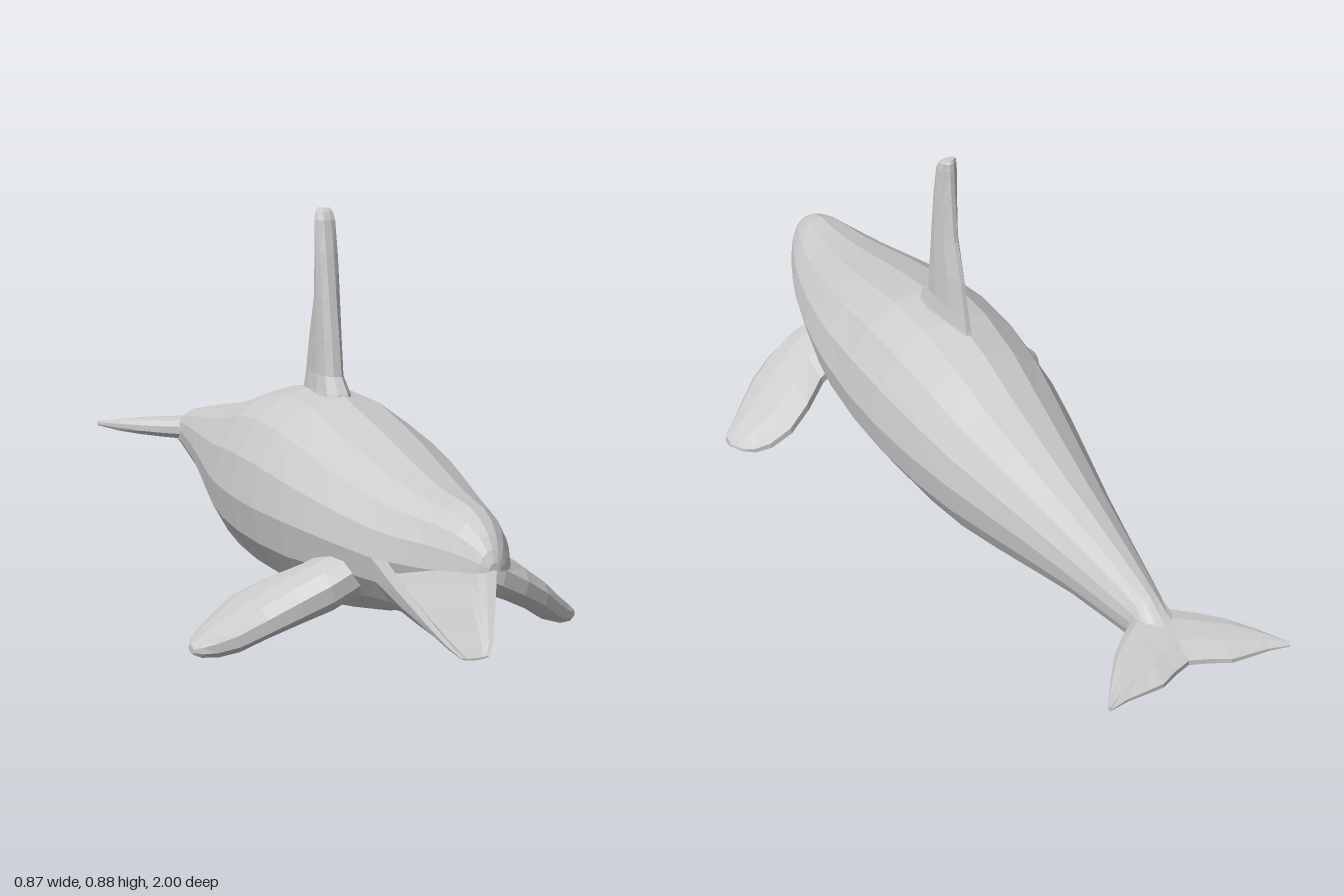
import * as THREE from 'three';

const material = new THREE.MeshStandardMaterial({ color: 0xcccccc, flatShading: true });

// Skin equal-length rings of [x, y, z] points; end caps pair opposite points,
// so they also close U-shaped rings. Winding is corrected by signed volume.
function loft(name, rings) {
  const n = rings[0].length;
  const index = [];
  const quad = (a, b, c, d) => index.push(a, b, c, a, c, d);
  for (let r = 0; r < rings.length - 1; r++) {
    for (let i = 0; i < n; i++) {
      const j = (i + 1) % n;
      quad(r * n + i, r * n + j, (r + 1) * n + j, (r + 1) * n + i);
    }
  }
  const last = (rings.length - 1) * n;
  for (let i = 0; i < n / 2 - 1; i++) {
    quad(n - 1 - i, n - 2 - i, i + 1, i);
    quad(last + i, last + i + 1, last + n - 2 - i, last + n - 1 - i);
  }
  const points = rings.flat().map((p) => new THREE.Vector3(...p));
  let volume = 0;
  for (let i = 0; i < index.length; i += 3) {
    const [a, b, c] = [0, 1, 2].map((k) => points[index[i + k]]);
    volume += a.dot(b.clone().cross(c));
  }
  if (volume < 0) index.reverse();
  const indexed = new THREE.BufferGeometry().setFromPoints(points);
  indexed.setIndex(index);
  const geometry = indexed.toNonIndexed();
  geometry.computeVertexNormals();
  const mesh = new THREE.Mesh(geometry, material);
  mesh.name = name;
  return mesh;
}

// Points on an arc whose upper and lower halves have different heights
function arc(z, w, top, mid, bottom, from, to, steps) {
  return Array.from({ length: steps + 1 }, (_, i) => {
    const a = from + ((to - from) * i) / steps;
    const s = Math.sin(a);
    return [w * Math.cos(a), mid + s * (s > 0 ? top - mid : mid - bottom), z];
  });
}

// Blade section: chord position, thickness; blunt in front, thin behind
function blade(lead, trail, half, place) {
  const profile = [[0, 0.35], [0.12, 0.85], [0.35, 1], [0.7, 0.75], [1, 0.2]];
  const upper = profile.map(([c, t]) => [lead + (trail - lead) * c, t * half]);
  const lower = upper.map(([c, t]) => [c, -t]).reverse();
  return [...upper, ...lower].map(([c, t]) => place(c, t));
}

function createBody() {
  // z, half width, top, middle, bottom
  const stations = [
    [-0.88, 0.045, 0.272, 0.25, 0.225], [-0.84, 0.045, 0.285, 0.25, 0.205],
    [-0.79, 0.042, 0.308, 0.25, 0.18], [-0.7, 0.06, 0.325, 0.25, 0.168],
    [-0.58, 0.083, 0.348, 0.25, 0.15], [-0.45, 0.11, 0.37, 0.25, 0.115],
    [-0.32, 0.14, 0.398, 0.25, 0.082], [-0.18, 0.172, 0.43, 0.25, 0.052],
    [-0.05, 0.195, 0.468, 0.25, 0.042], [0.1, 0.211, 0.488, 0.25, 0.038],
    [0.25, 0.215, 0.482, 0.25, 0.04], [0.4, 0.207, 0.45, 0.25, 0.045],
    [0.5, 0.194, 0.427, 0.248, 0.062], [0.59, 0.177, 0.404, 0.244, 0.084],
    [0.66, 0.16, 0.388, 0.24, 0.097],
  ];
  return loft('body', stations.map(([z, w, t, m, b]) =>
    arc(z, w, t, m, b, 0, Math.PI * 2, 16).slice(0, 16)));
}

function createUpperJaw() {
  // z, half width, top, lip height
  const stations = [
    [0.66, 0.16, 0.388, 0.24], [0.73, 0.142, 0.374, 0.236], [0.8, 0.12, 0.365, 0.237],
    [0.88, 0.09, 0.358, 0.24], [0.93, 0.068, 0.343, 0.245], [0.97, 0.045, 0.318, 0.248],
    [0.99, 0.028, 0.293, 0.25], [1, 0.012, 0.27, 0.253],
  ];
  return loft('upperJaw', stations.map(([z, w, top, lip]) => {
    const palate = lip + (top - lip) * 0.15;
    return [
      ...arc(z, w, top, lip, lip, 0, Math.PI, 8),
      ...arc(z, w * 0.82, palate, lip + 0.002, lip, Math.PI, 0, 8),
    ];
  }));
}

function createLowerJaw() {
  // z, half width, lip height, mouth floor, bottom
  const stations = [
    [0.66, 0.16, 0.24, 0.18, 0.097], [0.73, 0.138, 0.235, 0.165, 0.103],
    [0.79, 0.108, 0.178, 0.135, 0.093], [0.86, 0.07, 0.118, 0.098, 0.08],
    [0.9, 0.048, 0.086, 0.079, 0.07], [0.92, 0.03, 0.068, 0.066, 0.062],
  ];
  return loft('lowerJaw', stations.map(([z, w, lip, floor, bottom]) => {
    const inner = [-0.8, -0.66, -0.52, -0.25, 0, 0.25, 0.52, 0.66, 0.8].map((f) => {
      const depth = Math.min(1, (0.8 - Math.abs(f)) / 0.28);
      return [f * w, lip + (floor - lip) * depth, z];
    });
    return [...arc(z, w, lip, lip, bottom, Math.PI * 2, Math.PI, 8), ...inner];
  }));
}

function createDorsalFin() {
  // y, leading z, trailing z, half thickness
  const stations = [
    [0.45, 0.26, 0.01, 0.04], [0.485, 0.245, 0.025, 0.032], [0.52, 0.213, 0.035, 0.026],
    [0.6, 0.2, 0.055, 0.025], [0.69, 0.183, 0.088, 0.025], [0.79, 0.166, 0.1, 0.025],
    [0.86, 0.15, 0.105, 0.024], [0.878, 0.14, 0.107, 0.021], [0.886, 0.13, 0.112, 0.015],
  ];
  return loft('dorsalFin', stations.map(([y, lead, trail, half]) =>
    blade(lead, trail, half, (c, t) => [t, y, c])));
}

function createFlipper(side) {
  // x, leading z, trailing z, height, half thickness
  const stations = [
    [0.12, 0.66, 0.48, 0.185, 0.045], [0.19, 0.662, 0.46, 0.15, 0.046],
    [0.25, 0.648, 0.41, 0.12, 0.042], [0.31, 0.622, 0.38, 0.085, 0.037],
    [0.36, 0.583, 0.392, 0.049, 0.033], [0.395, 0.55, 0.415, 0.03, 0.027],
    [0.42, 0.53, 0.445, 0.022, 0.019], [0.435, 0.512, 0.48, 0.019, 0.009],
  ];
  // Thickness leans inward, square to the drooping blade
  return loft(side > 0 ? 'leftFlipper' : 'rightFlipper', stations.map(([x, lead, trail, y, half]) =>
    blade(lead, trail, half, (c, t) => [side * (x + t * 0.25 * (x < 0.4 ? 1 : 0)), y + t, c])));
}

function createFlukes() {
  // x, leading z, trailing z, half thickness
  const half = [
    [0, -0.78, -0.95, 0.03], [0.04, -0.795, -0.965, 0.028], [0.08, -0.825, -0.985, 0.025],
    [0.125, -0.868, -0.988, 0.021], [0.165, -0.922, -0.99, 0.016], [0.21, -0.99, -1, 0.006],
  ];
  const stations = [...half.slice(1).reverse().map(([x, ...rest]) => [-x, ...rest]), ...half];
  return loft('tailFlukes', stations.map(([x, lead, trail, t0]) =>
    blade(lead, trail, t0, (c, t) => [x, 0.25 + t, c])));
}

export function createModel() {
  const model = new THREE.Group();
  model.name = 'whale';
  model.add(createBody(), createUpperJaw(), createLowerJaw(), createDorsalFin(), createFlukes());
  for (const side of [1, -1]) model.add(createFlipper(side));
  return model;
}
